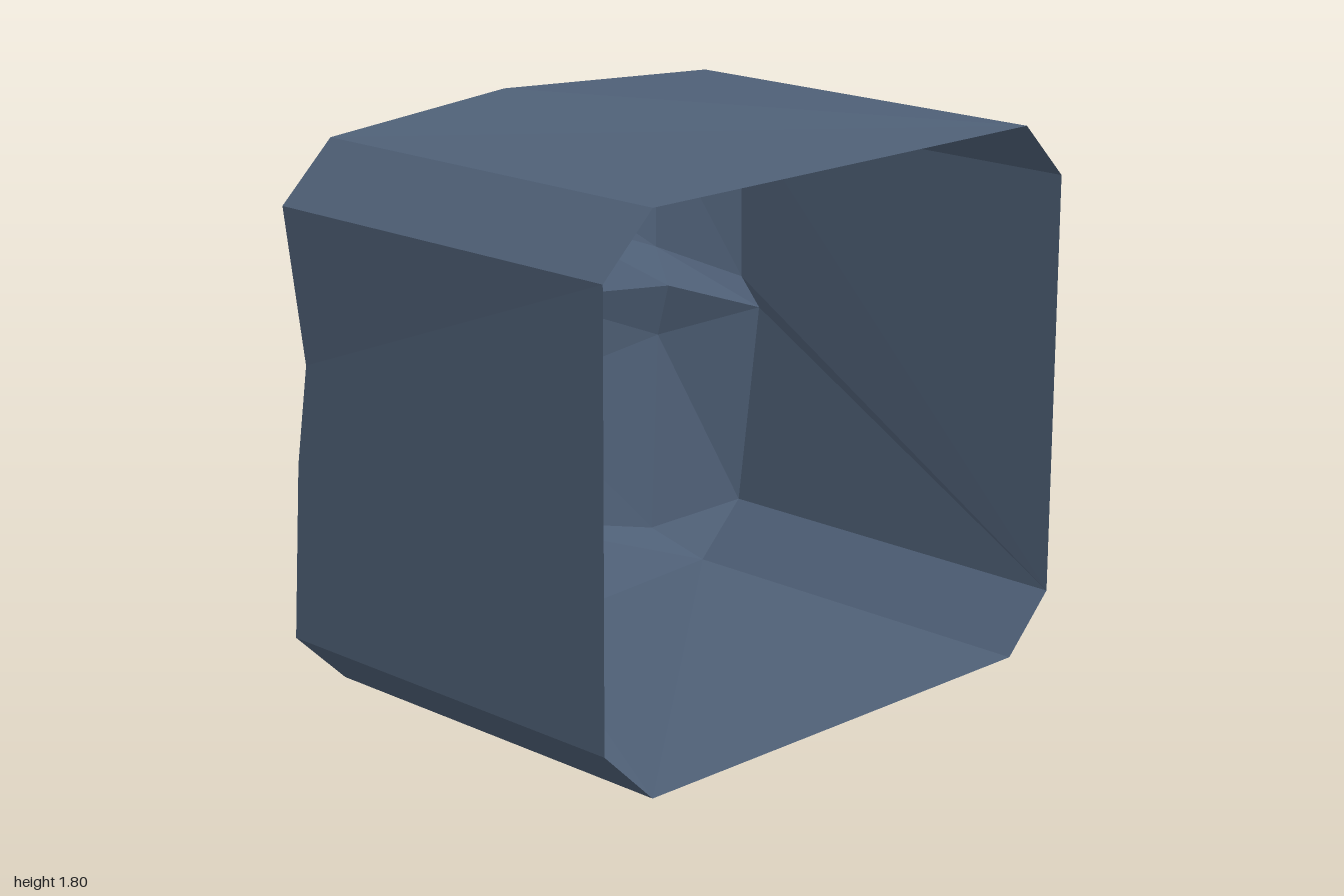
import * as THREE from 'three';

const END = 0.84; // open end of the shell

// Flat-faced mesh from a list of polygons, each fanned from its first corner
function facets(name, polygons, material) {
  const pos = [];
  for (const p of polygons) {
    for (let i = 1; i < p.length - 1; i++) {
      const [a, b, c] = [p[0], p[i], p[i + 1]].map(v => new THREE.Vector3(...v));
      if (new THREE.Triangle(a, b, c).getArea() < 1e-6) continue;
      for (const v of [a, b, c]) pos.push(v.x, v.y, v.z);
    }
  }
  const geometry = new THREE.BufferGeometry();
  geometry.setAttribute('position', new THREE.Float32BufferAttribute(pos, 3));
  geometry.computeVertexNormals();
  const mesh = new THREE.Mesh(geometry, material);
  mesh.name = name;
  return mesh;
}

export function createModel() {
  const group = new THREE.Group();
  group.name = 'rockBlock';
  const slate = new THREE.MeshStandardMaterial({ color: 0x4f6077, side: THREE.DoubleSide });
  slate.name = 'slate blue';

  // Corners shared by the rock face and the shell
  const topFront = [-0.52, 1.76, 0.81], topBack = [-0.52, 1.76, -0.8];
  const lowFront = [-0.52, 0.04, 0.81], lowBack = [-0.52, 0.04, -0.8];
  const frontNotch = [-0.45, 1.1, 0.985], backNotch = [-0.45, 0.92, -1];

  // Rock face: rows from top to bottom, each running front to back
  const rows = [
    [topFront, topFront, [-0.58, 1.8, 0.05], topBack, topBack],
    [[-0.52, 1.58, 1], [-0.62, 1.65, 0.77], [-0.84, 1.49, -0.28], [-0.75, 1.58, -0.8], [-0.52, 1.58, -0.98]],
    [frontNotch, [-0.64, 1.23, 0.73], [-0.8, 1.33, -0.23], [-0.74, 1.12, -0.79], [-0.52, 1.02, -0.985]],
    [frontNotch, [-0.57, 1.13, 0.75], [-0.69, 1.06, -0.16], [-0.66, 1.0, -0.77], backNotch],
    [[-0.495, 0.78, 0.99], [-0.67, 0.78, 0.71], [-0.73, 0.74, -0.12], [-0.73, 0.81, -0.79], backNotch],
    [[-0.52, 0.22, 1], [-0.68, 0.39, 0.71], [-0.7, 0.325, 0], [-0.7, 0.13, -0.73], [-0.52, 0.22, -0.98]],
    [lowFront, [-0.54, 0.04, 0.56], [-0.52, 0, 0], lowBack, lowBack],
  ];
  const rock = [];
  for (let r = 0; r < rows.length - 1; r++) {
    for (let c = 0; c < 4; c++) {
      rock.push([rows[r][c], rows[r][c + 1], rows[r + 1][c + 1], rows[r + 1][c]]);
    }
  }
  group.add(facets('rockFace', rock, slate));

  // Shell walls: each runs from its rock-face edge straight to the open end
  const atEnd = ([, y, z]) => [END, y, z];
  const wall = (name, edge) =>
    group.add(facets(name, [[atEnd(edge[0]), ...edge, atEnd(edge[edge.length - 1])]], slate));
  const column = c => rows.slice(1, 6).map(row => row[c]);
  const frontEdge = column(0);
  const backEdge = column(4).reverse();

  wall('topWall', [...rows[0].slice(1, 4)].reverse());
  wall('topFrontChamfer', [topFront, frontEdge[0]]);
  wall('frontWall', frontEdge);
  wall('bottomFrontChamfer', [frontEdge[4], lowFront]);
  wall('bottomWall', rows[6].slice(0, 4));
  wall('bottomBackChamfer', [lowBack, backEdge[0]]);
  wall('backWall', backEdge);
  wall('topBackChamfer', [backEdge[4], topBack]);
  return group;
}
